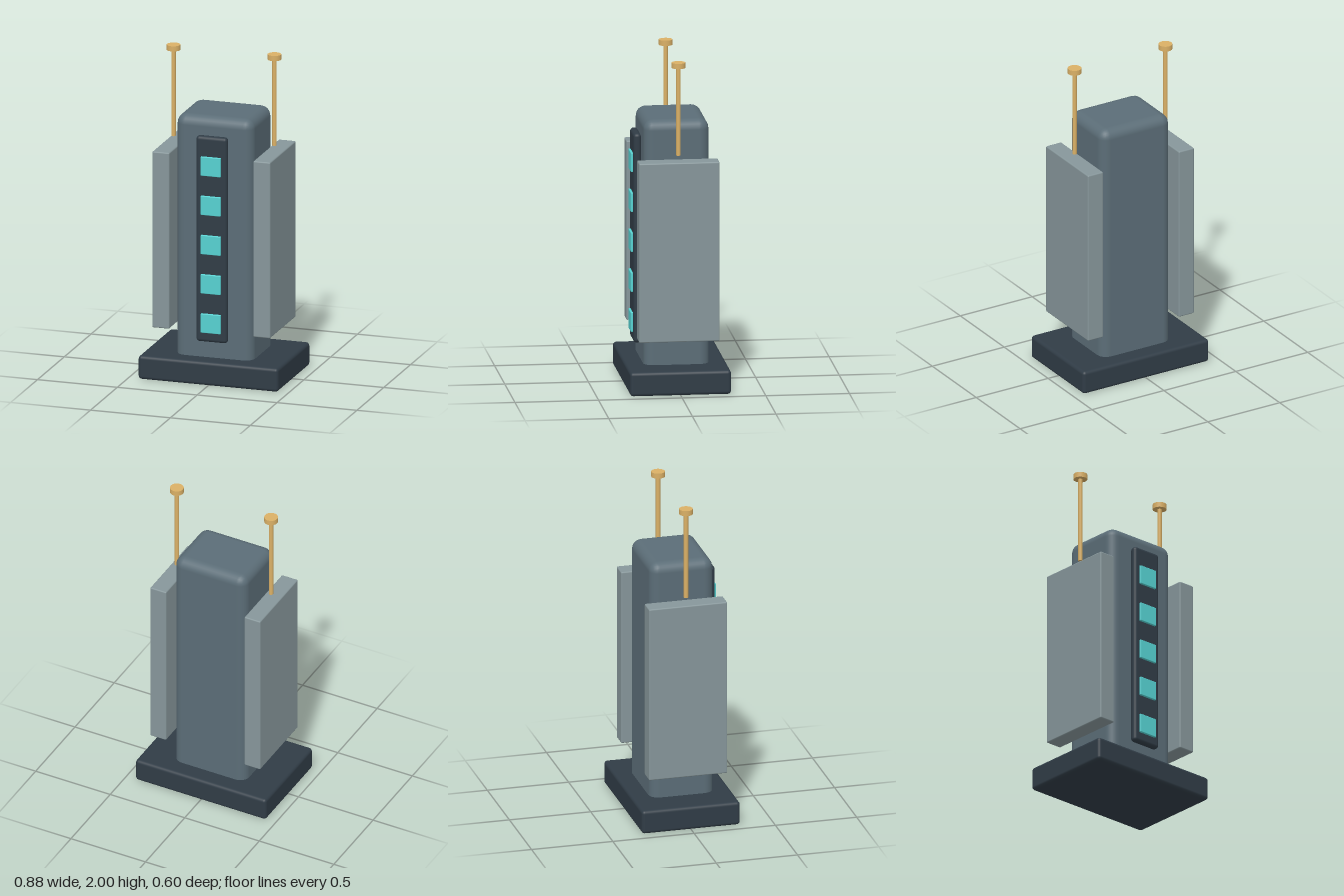
import * as THREE from 'three';
import { RoundedBoxGeometry } from 'three/addons/geometries/RoundedBoxGeometry.js';

const mat = (color) => new THREE.MeshStandardMaterial({ color });

export function createModel() {
  const model = new THREE.Group();
  model.name = 'tower';
  const dark = mat(0x303c46);
  const slate = mat(0x5b6d77);
  const grey = mat(0x86969a);
  const cyan = mat(0x56d2d2);
  const gold = mat(0xdab066);

  const add = (name, geometry, material, x, y, z) => {
    const mesh = new THREE.Mesh(geometry, material);
    mesh.name = name;
    mesh.position.set(x, y, z);
    model.add(mesh);
  };
  // Rounded box given by its lower and upper y
  const block = (name, material, w, y0, y1, d, r, x = 0, z = 0) =>
    add(name, new RoundedBoxGeometry(w, y1 - y0, d, 3, r), material, x, (y0 + y1) / 2, z);

  // Base and main body
  block('base', dark, 0.876, 0, 0.145, 0.604, 0.02);
  block('body', slate, 0.482, 0.07, 1.63, 0.39, 0.06);

  // Front strip with its row of lights
  block('frontStrip', dark, 0.194, 0.25, 1.522, 0.046, 0.02, 0, 0.218);
  for (let i = 0; i < 5; i++) {
    const y = 0.369 + i * 0.243;
    block('light' + (i + 1), cyan, 0.124, y - 0.059, y + 0.059, 0.024, 0.004, 0, 0.242);
  }

  // Side panels and the antennas above them
  for (const [side, s] of [['left', 1], ['right', -1]]) {
    block(side + 'Panel', grey, 0.107, 0.31, 1.4, 0.482, 0.008, s * 0.316);
    add(side + 'AntennaRod', new THREE.CylinderGeometry(0.0135, 0.0135, 0.545, 20), gold, s * 0.316, 1.7075, 0);
    add(side + 'AntennaCap', new THREE.CylinderGeometry(0.041, 0.041, 0.032, 32), gold, s * 0.316, 1.984, 0);
  }
  return model;
}
